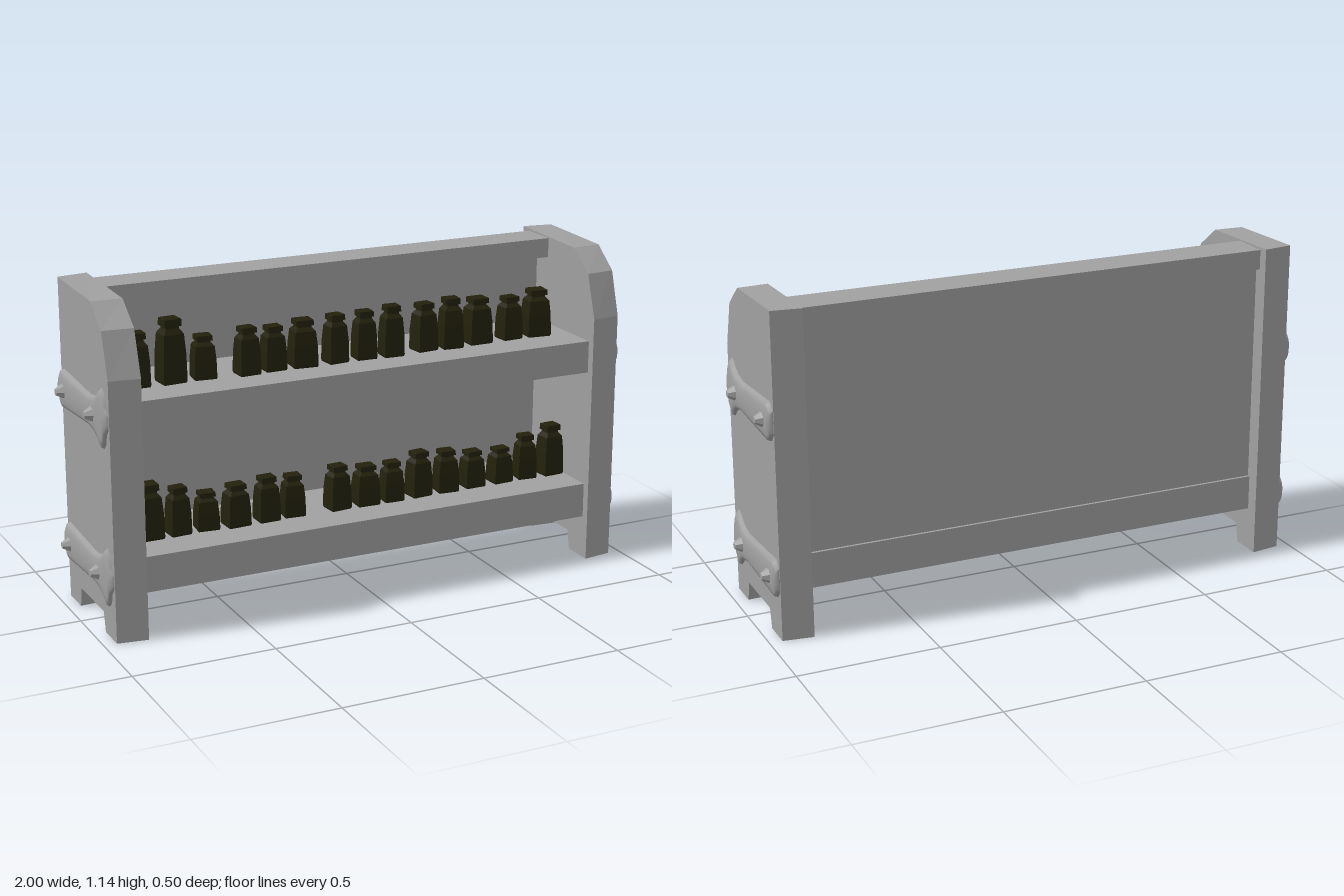
import * as THREE from 'three';

const wood = new THREE.MeshStandardMaterial({ color: 0xa0a0a0 });
wood.name = 'grey wood';
const glass = new THREE.MeshStandardMaterial({ color: 0x23210c });
glass.name = 'dark olive glass';

function add(parent, name, geometry, material, x = 0, y = 0, z = 0) {
  const mesh = new THREE.Mesh(geometry, material);
  mesh.name = name;
  mesh.position.set(x, y, z);
  parent.add(mesh);
  return mesh;
}

// Board given by its lower and upper limits in y and z
function board(parent, name, y0, y1, z0, z1) {
  add(parent, name, new THREE.BoxGeometry(1.7, y1 - y0, z1 - z0), wood, 0, (y0 + y1) / 2, (z0 + z1) / 2);
}

function flat(geometry) {
  const g = geometry.index ? geometry.toNonIndexed() : geometry;
  g.computeVertexNormals();
  return g;
}

// Side panel outline as [z, y], with a cut corner on top and a notch between the feet
const PANEL = [
  [0.25, 0], [0.25, 0.9], [0.2, 1.055], [0.1, 1.13], [-0.25, 1.14], [-0.25, 0],
  [-0.135, 0], [-0.12, 0.07], [0.12, 0.07], [0.135, 0],
];

function sidePanel(s) {
  const depth = 0.107;
  const shape = new THREE.Shape(PANEL.map(([z, y]) => new THREE.Vector2(-s * z, y)));
  const g = new THREE.ExtrudeGeometry(shape, { depth, bevelEnabled: false });
  const p = g.attributes.position;
  // The panel narrows towards its outer face
  for (let i = 0; i < p.count; i++) p.setX(i, p.getX(i) * (1 - 0.06 * p.getZ(i) / depth));
  g.rotateY(s * Math.PI / 2);
  return flat(g);
}

// Strap stations as [z, half height, bulge]
const STRAP = [
  [0.23, 0.018, 0], [0.226, 0.03, 0.012], [0.21, 0.05, 0.018], [0.2, 0.085, 0.019],
  [0.18, 0.104, 0.02], [0.15, 0.076, 0.021], [0.12, 0.061, 0.022], [0.07, 0.052, 0.022],
  [-0.2, 0.068, 0.022], [-0.21, 0.066, 0.022], [-0.23, 0.042, 0.018], [-0.231, 0.042, 0],
];

function strapGeometry(s) {
  const cols = STRAP.length, rows = 9;
  const g = new THREE.PlaneGeometry(1, 1, cols - 1, rows - 1);
  const p = g.attributes.position;
  for (let i = 0; i < p.count; i++) {
    const c = i % cols, a = Math.PI * Math.floor(i / cols) / (rows - 1);
    const [z, half, bulge] = STRAP[s > 0 ? c : cols - 1 - c];
    p.setXYZ(i, -s * z, half * Math.cos(a), bulge * Math.sqrt(Math.max(0, Math.sin(a))));
  }
  g.rotateY(s * Math.PI / 2);
  g.computeVertexNormals();
  return g;
}

// Square bottle with shoulders, neck and cap
function bottleGeometry(width, height) {
  const profile = [[0, 0], [0.47, 0], [0.5, 0.04], [0.48, 0.45], [0.42, 0.76], [0.28, 0.84], [0.28, 0.87],
    [0.36, 0.88], [0.35, 0.99], [0.3, 1], [0, 1]];
  const points = profile.map(([r, y]) => new THREE.Vector2(r * width * Math.SQRT2, y * height));
  const g = new THREE.LatheGeometry(points, 4, Math.PI / 4);
  g.scale(1, 1, 0.88);
  return flat(g);
}

// Bottles as [x, top, z, width]
const UPPER = [
  [-0.79, 1.0, 0.05, 0.078], [-0.67, 1.035, 0.05, 0.088], [-0.555, 0.965, 0.05, 0.08],
  [-0.405, 0.98, 0.07, 0.078], [-0.305, 0.97, 0.06, 0.078], [-0.195, 0.98, 0.06, 0.09],
  [-0.075, 0.985, 0.065, 0.076], [0.035, 0.985, 0.065, 0.076], [0.135, 0.995, 0.075, 0.076],
  [0.27, 0.985, 0.06, 0.08], [0.37, 0.995, 0.07, 0.078], [0.485, 0.98, 0.055, 0.09],
  [0.615, 0.97, 0.055, 0.078], [0.725, 0.985, 0.055, 0.09],
];
const LOWER = [
  [-0.765, 0.475, 0.05, 0.092], [-0.66, 0.45, 0.055, 0.076], [-0.555, 0.415, 0.05, 0.08],
  [-0.45, 0.43, 0.06, 0.086], [-0.335, 0.44, 0.06, 0.08], [-0.235, 0.43, 0.055, 0.078],
  [-0.065, 0.44, 0.06, 0.08], [0.045, 0.425, 0.06, 0.086], [0.145, 0.425, 0.065, 0.076],
  [0.255, 0.445, 0.06, 0.08], [0.365, 0.435, 0.06, 0.08], [0.475, 0.415, 0.055, 0.08],
  [0.59, 0.41, 0.055, 0.078], [0.695, 0.445, 0.055, 0.074], [0.8, 0.47, 0.055, 0.082],
];

function bottleRow(parent, name, list, base) {
  const row = new THREE.Group();
  row.name = name;
  list.forEach(([x, top, z, width], i) => {
    const bottle = add(row, 'bottle', bottleGeometry(width * 0.97, top - base), glass, x, base, z);
    bottle.rotation.y = 0.1 * Math.sin(i * 2.3);
  });
  parent.add(row);
}

export function createModel() {
  const model = new THREE.Group();
  model.name = 'bottle rack';

  // Shelves, back wall and top rail
  board(model, 'lowerShelf', 0.155, 0.28, -0.2, 0.22);
  board(model, 'upperShelf', 0.7, 0.815, -0.17, 0.22);
  board(model, 'backWall', 0.17, 1.08, -0.19, -0.15);
  board(model, 'topRail', 1.06, 1.13, -0.213, -0.073);

  // Side panels with straps and bolts
  for (const s of [1, -1]) {
    const side = new THREE.Group();
    side.name = s > 0 ? 'leftSide' : 'rightSide';
    add(side, 'sidePanel', sidePanel(s), wood, s * 0.848);
    for (const y of [0.763, 0.215]) {
      add(side, 'strap', strapGeometry(s), wood, s * 0.954, y);
      for (const z of [0.117, -0.17]) {
        const bolt = flat(new THREE.CylinderGeometry(0.012, 0.029, 0.03, 7));
        bolt.rotateZ(-s * Math.PI / 2);
        add(side, 'bolt', bolt, wood, s * 0.985, y, z);
      }
    }
    model.add(side);
  }

  bottleRow(model, 'upperBottles', UPPER, 0.815);
  bottleRow(model, 'lowerBottles', LOWER, 0.28);
  return model;
}
